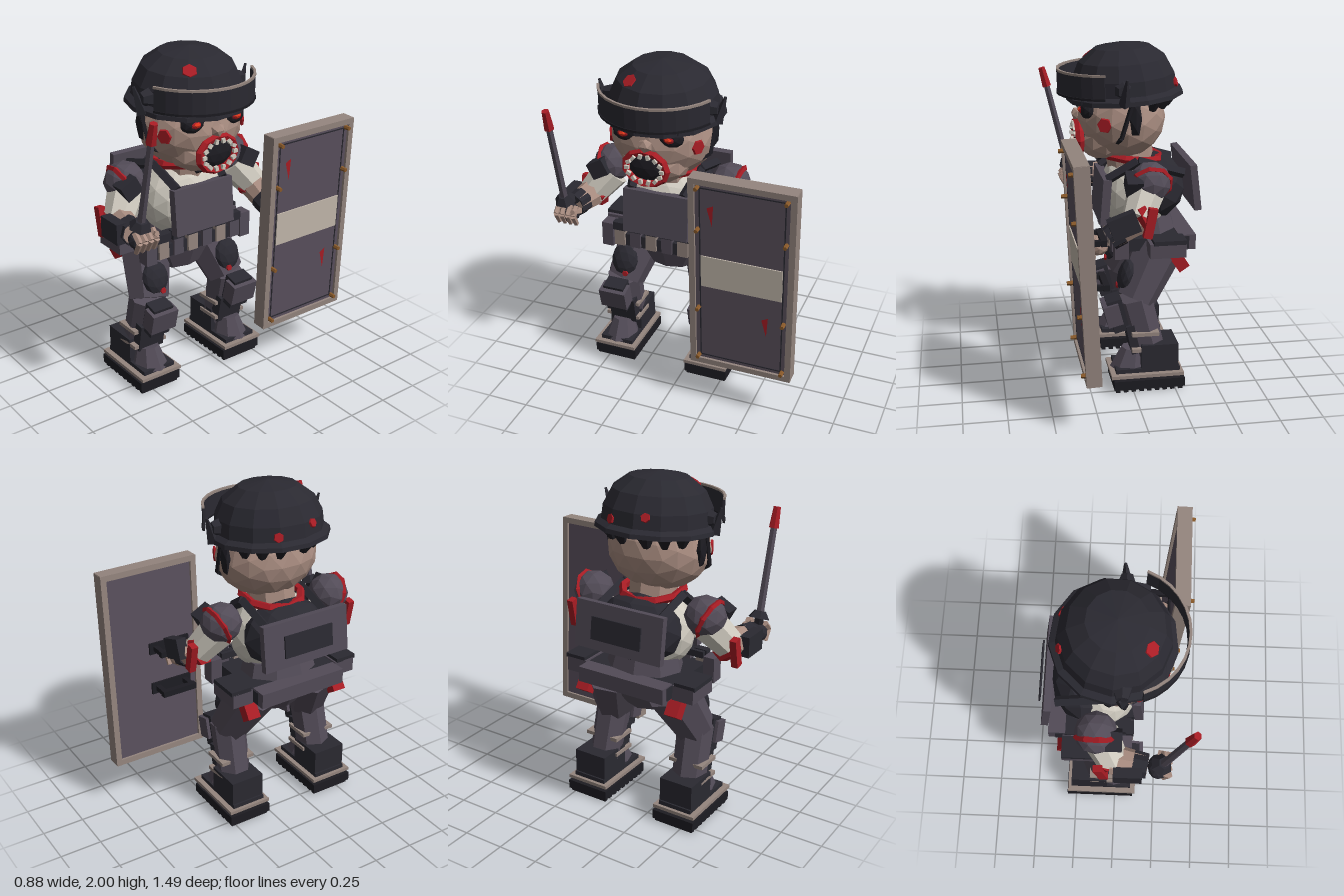
import * as THREE from 'three';

const C = { dark: 0x2a2931, grey: 0x524b57, panel: 0x5a505d, red: 0xa81c24, white: 0xcfcabf,
  skin: 0xa88c80, frame: 0x94857e, stripe: 0xc4b9ac, brass: 0x8a5a2a, eye: 0xe0361c, black: 0x1d1c22 };
const mats = {};
const mat = (c) => (mats[c] ??= new THREE.MeshStandardMaterial({ color: C[c], flatShading: true, side: THREE.DoubleSide }));
const V = (p) => new THREE.Vector3(...p);
const UP = new THREE.Vector3(0, 1, 0);

export function createModel() {
  const root = new THREE.Group();
  root.name = 'shieldTrooper';
  // The figure looks along +x; its own middle plane is z = 0 inside this group
  const g = new THREE.Group();
  g.name = 'figure';
  g.position.z = 0.15;
  root.add(g);

  const add = (name, geo, color, p = [0, 0, 0], r = [0, 0, 0], parent = g) => {
    const m = new THREE.Mesh(geo, mat(color));
    m.name = name;
    m.position.set(...p);
    m.rotation.set(...r);
    parent.add(m);
    return m;
  };
  const box = (name, color, p, s, r, parent) => add(name, new THREE.BoxGeometry(...s), color, p, r, parent);
  const ball = (name, color, p, s, detail = 1, r) => add(name, new THREE.IcosahedronGeometry(1, detail).scale(...s), color, p, r);
  // Tapered faceted rod from a to b
  const limb = (name, color, a, b, ra, rb, sides = 7) => {
    const d = V(b).sub(V(a));
    const m = add(name, new THREE.CylinderGeometry(rb, ra, d.length(), sides), color, V(a).addScaledVector(d, 0.5).toArray());
    m.quaternion.setFromUnitVectors(UP, d.normalize());
    return m;
  };
  // Thin blot lying on a surface with normal n
  const blot = (p, n, size) => {
    const m = add('bloodStain', new THREE.CylinderGeometry(size * 0.9, size, 0.012, 6), 'red', p);
    m.quaternion.setFromUnitVectors(UP, V(n).normalize());
  };
  const lathe = (pts, n) => new THREE.LatheGeometry(pts.map((p) => new THREE.Vector2(...p)), n);

  // Head and face
  ball('head', 'skin', [0.01, 1.57, 0], [0.26, 0.245, 0.305], 2);
  ball('jaw', 'skin', [0.12, 1.45, 0], [0.15, 0.13, 0.21]);
  limb('neck', 'skin', [-0.06, 1.24, 0], [-0.03, 1.42, 0], 0.14, 0.14, 8);
  ball('mouthCavity', 'black', [0.24, 1.46, 0], [0.045, 0.09, 0.12]);
  const lips = add('lips', new THREE.TorusGeometry(0.12, 0.026, 5, 11), 'red', [0.262, 1.455, 0], [0, Math.PI / 2, 0]);
  lips.scale.y = 0.8;
  for (let i = 0; i < 14; i++) {
    const a = (i / 14) * Math.PI * 2;
    box('tooth', 'white', [0.285, 1.455 + 0.078 * Math.sin(a), 0.104 * Math.cos(a)], [0.02, 0.026, 0.02], [a - Math.PI / 2, 0, 0]);
  }
  ball('nose', 'skin', [0.265, 1.59, 0], [0.035, 0.04, 0.045], 0);
  for (const s of [1, -1]) {
    ball('eyeSocket', 'black', [0.22, 1.64, s * 0.135], [0.045, 0.055, 0.075], 1);
    ball('eyeRim', 'red', [0.243, 1.64, s * 0.135], [0.028, 0.026, 0.04], 1);
    ball('eye', 'eye', [0.26, 1.642, s * 0.135], [0.018, 0.016, 0.026], 0);
    box('brow', 'dark', [0.24, 1.7, s * 0.13], [0.04, 0.025, 0.13], [s * 0.2, 0, 0]);
    blot([0.14, 1.57, s * 0.262], [0.45, 0, s], 0.045);
    ball('sideburn', 'black', [-0.03, 1.61, s * 0.295], [0.04, 0.11, 0.025], 0);
    // Short hair just below the helmet
    for (let i = 0; i < 3; i++) {
      const a = Math.PI * 0.68 + i * 0.36;
      limb('hairTuft', 'black', [0.27 * Math.cos(a), 1.71, s * 0.29 * Math.sin(a)],
        [0.25 * Math.cos(a), 1.64, s * 0.275 * Math.sin(a)], 0.05, 0.02, 5);
    }
    // Chin straps
    limb('chinStrap', 'black', [-0.01, 1.7, s * 0.31], [0.05, 1.5, s * 0.3], 0.013, 0.013, 4);
    limb('chinStrap', 'black', [0.05, 1.5, s * 0.3], [0.15, 1.33, s * 0.05], 0.013, 0.013, 4);
    // Visor hinges
    limb('visorHinge', 'dark', [0.04, 1.77, s * 0.28], [0.04, 1.77, s * 0.34], 0.055, 0.035, 6);
    limb('hingeWing', 'dark', [0.04, 1.69, s * 0.33], [0.03, 1.84, s * 0.375], 0.035, 0.008, 4);
  }
  limb('chinStrap', 'black', [0.15, 1.33, 0.06], [0.15, 1.33, -0.06], 0.015, 0.015, 4);

  // Helmet and raised visor
  const shell = lathe([[0.3, -0.03], [0.355, -0.025], [0.352, 0], [0.318, 0.02], [0.31, 0.1], [0.265, 0.19], [0.17, 0.26], [0, 0.288]], 13);
  add('helmet', shell, 'dark', [-0.015, 1.713, 0], [0, 0, -0.07]).scale.set(0.96, 1, 0.99);
  const arc = (r, t, h) => {
    const s = new THREE.Shape();
    s.absarc(0, 0, r, -1.22, 1.22, false);
    s.absarc(0, 0, r - t, 1.22, -1.22, true);
    return new THREE.ExtrudeGeometry(s, { depth: h, bevelEnabled: false, curveSegments: 6 }).rotateX(-Math.PI / 2);
  };
  add('visor', arc(0.35, 0.012, 0.12), 'dark', [0.025, 1.735, 0], [0, 0, -0.03]);
  for (const y of [1.722, 1.853]) add('visorTrim', arc(0.355, 0.014, 0.013), y > 1.8 ? 'frame' : 'black', [0.025, y, 0], [0, 0, -0.03]);
  blot([0.18, 1.915, 0.12], [0.6, 0.8, 0.3], 0.045);
  blot([-0.29, 1.82, 0.1], [-0.9, 0.45, 0.3], 0.028);
  blot([-0.235, 1.89, -0.1], [-0.7, 0.65, -0.3], 0.03);
  blot([-0.29, 1.78, -0.12], [-0.9, 0.3, -0.4], 0.03);

  // Torso, scarf and vest
  ball('shirt', 'white', [-0.07, 1.11, 0], [0.21, 0.24, 0.27], 2);
  ball('vestBack', 'dark', [-0.19, 1.15, 0], [0.18, 0.2, 0.27]);
  add('scarf', new THREE.TorusGeometry(0.175, 0.025, 5, 10), 'red', [-0.05, 1.34, 0], [Math.PI / 2, 0.12, 0]);
  box('chestPlate', 'grey', [0.125, 1.1, 0], [0.05, 0.27, 0.4], [0, 0, 0.08]);
  box('backPlate', 'grey', [-0.385, 1.19, 0], [0.04, 0.27, 0.56], [0, 0, -0.12]);
  box('backPanel', 'dark', [-0.425, 1.19, 0], [0.01, 0.13, 0.32], [0, 0, -0.12]);
  for (const s of [1, -1]) {
    limb('vestStrap', 'dark', [0.11, 1.23, s * 0.16], [-0.06, 1.34, s * 0.2], 0.03, 0.03, 4);
    limb('vestStrap', 'dark', [-0.06, 1.34, s * 0.2], [-0.33, 1.26, s * 0.2], 0.03, 0.03, 4);
  }

  // Belt and pouches
  limb('waist', 'grey', [-0.13, 0.84, 0], [-0.12, 0.98, 0], 0.25, 0.21, 9).scale.x = 0.82;
  box('belt', 'dark', [-0.13, 0.865, 0], [0.44, 0.075, 0.57]);
  box('rearPouch', 'grey', [-0.34, 0.865, 0], [0.1, 0.09, 0.56]);
  box('upperBelt', 'dark', [0.065, 0.955, 0], [0.05, 0.04, 0.56]);
  for (let i = 0; i < 6; i++) {
    const z = -0.25 + i * 0.1;
    box('beltPouch', i % 2 ? 'frame' : 'grey', [0.085, 0.885, z], [0.04, 0.11, 0.065]);
    box('pouchFlap', 'dark', [0.085, 0.955, z], [0.045, 0.05, 0.08]);
  }
  for (const s of [1, -1]) {
    box('hipPouch', 'grey', [0.06, 0.885, s * 0.33], [0.08, 0.15, 0.07]);
    box('sidePouch', 'grey', [-0.2, 0.865, s * 0.355], [0.21, 0.085, 0.13]);
    box('sidePouchFlap', 'dark', [-0.21, 0.915, s * 0.365], [0.19, 0.025, 0.13]);
  }

  // Legs, boots and soles
  limb('pelvis', 'grey', [-0.11, 0.66, 0], [-0.13, 0.85, 0], 0.13, 0.26, 8).scale.x = 0.78;
  for (const s of [1, -1]) {
    limb('thigh', 'grey', [-0.18, 0.82, s * 0.2], [-0.03, 0.53, s * 0.28], 0.155, 0.12);
    box('tornHip', 'red', [-0.28, 0.77, s * 0.3], [0.07, 0.12, 0.08], [0, 0, -0.6]);
    ball('thighPatch', 'dark', [0.02, 0.68, s * 0.26], [0.045, 0.1, 0.085], 1, [0, 0, 0.3]);
    blot([0.07, 0.61, s * 0.24], [1, 0.1, 0], 0.02);
    limb('shin', 'grey', [-0.025, 0.55, s * 0.285], [-0.125, 0.16, s * 0.295], 0.108, 0.1);
    box('kneePad', 'grey', [0.11, 0.465, s * 0.29], [0.09, 0.13, 0.17], [0, 0, -0.25]);
    box('kneePadEdge', 'dark', [0.08, 0.455, s * 0.29], [0.09, 0.2, 0.13], [0, 0, -0.25]);
    box('shinGuard', 'dark', [-0.015, 0.31, s * 0.29], [0.07, 0.18, 0.17], [0, 0, -0.2]);
    for (const y of [0.25, 0.35]) box('shinStrap', 'frame', [-0.075, y, s * 0.295], [0.16, 0.022, 0.22]);
    box('bootHeel', 'dark', [-0.16, 0.205, s * 0.3], [0.22, 0.15, 0.21]);
    const toe = add('bootToe', new THREE.CylinderGeometry(0.08, 0.13, 0.13, 8), 'grey', [-0.015, 0.165, s * 0.3], [0, 0, 0.15]);
    toe.scale.z = 0.82;
    box('bootBase', 'dark', [-0.09, 0.12, s * 0.3], [0.38, 0.03, 0.21]);
    box('welt', 'frame', [-0.085, 0.1, s * 0.302], [0.43, 0.02, 0.27]);
    box('sole', 'black', [-0.095, 0.047, s * 0.302], [0.42, 0.055, 0.27]);
    for (let i = 0; i < 9; i++) box('tread', 'black', [-0.28 + i * 0.0465, 0.011, s * 0.302], [0.025, 0.022, 0.25]);
  }

  // Arms: [side, elbow, wrist, hand]
  const arms = [
    [1, [-0.01, 1.09, 0.47], [0.19, 1.09, 0.5], [0.25, 1.08, 0.5]],
    [-1, [-0.01, 1.08, -0.47], [0.15, 0.98, -0.48], [0.21, 0.94, -0.46]],
  ];
  for (const [s, elbow, wrist, hand] of arms) {
    ball('shoulderPad', 'grey', [-0.1, 1.265, s * 0.37], [0.12, 0.115, 0.12], 1, [s * 0.4, 0, 0]);
    add('shoulderTrim', new THREE.TorusGeometry(0.113, 0.016, 4, 9), 'red', [-0.1, 1.255, s * 0.395], [s * 0.4, 0, 0]);
    box('shoulderFlap', 'dark', [0, 1.27, s * 0.41], [0.09, 0.1, 0.11], [s * 0.5, 0, 0]);
    limb('sleeve', 'white', [-0.08, 1.22, s * 0.37], elbow, 0.11, 0.09, 8);
    limb('tornCuff', 'red', [-0.04, 1.1, s * 0.45], [0, 1.085, s * 0.47], 0.098, 0.093, 7);
    box('tornStrip', 'red', [-0.07, 1.08, s * 0.545], [0.05, 0.17, 0.04], [0, 0, 0.2]);
    blot([0.0, 1.2, s * 0.45], [1, 0.2, s * 0.6], 0.028);
    limb('forearm', 'skin', elbow, wrist, 0.088, 0.065, 8);
    box('armGuard', 'dark', [0.08, elbow[1], s * 0.56], [0.16, 0.12, 0.06], [0, 0, s > 0 ? 0 : -0.35]);
    limb('gloveCuff', 'dark', V(elbow).lerp(V(wrist), 0.6).toArray(), wrist, 0.08, 0.072, 7);
    ball('palm', s > 0 ? 'dark' : 'skin', hand, [0.06, 0.058, 0.072], 1);
    for (let i = 0; i < 4; i++) {
      const z = hand[2] - 0.06 + i * 0.036;
      limb('finger', 'skin', [hand[0] + 0.02, hand[1] + 0.055, z], [hand[0] + 0.065, hand[1] + 0.01, z], 0.018, 0.018, 5);
      limb('finger', 'skin', [hand[0] + 0.065, hand[1] + 0.01, z], [hand[0] + 0.03, hand[1] - 0.055, z], 0.018, 0.015, 5);
    }
    limb('thumb', 'skin', [hand[0], hand[1] + 0.02, hand[2] - s * 0.07], [hand[0] + 0.07, hand[1] + 0.04, hand[2] - s * 0.06], 0.022, 0.016, 5);
  }

  // Baton
  limb('batonGrip', 'black', [0.24, 1.02, 0.51], [0.275, 1.18, 0.51], 0.028, 0.028, 6);
  limb('batonGuard', 'dark', [0.265, 1.16, 0.51], [0.28, 1.2, 0.51], 0.065, 0.035, 6);
  limb('batonShaft', 'grey', [0.275, 1.18, 0.51], [0.395, 1.68, 0.512], 0.023, 0.02, 6);
  limb('batonTip', 'red', [0.39, 1.66, 0.512], [0.42, 1.775, 0.512], 0.03, 0.022, 6);

  // Shield, leaning slightly forward at the top
  const sh = new THREE.Group();
  sh.name = 'shield';
  sh.position.set(0.32, 0.9, -0.595);
  sh.rotation.z = -0.045;
  g.add(sh);
  box('shieldPanel', 'panel', [0, 0, 0], [0.055, 1.19, 0.56], undefined, sh);
  for (const s of [1, -1]) {
    box('frameSide', 'frame', [0, 0, s * 0.285], [0.085, 1.22, 0.035], undefined, sh);
    box('frameEnd', 'frame', [0, s * 0.595, 0], [0.085, 0.035, 0.6], undefined, sh);
    box('innerLine', 'dark', [0.028, 0, s * 0.24], [0.005, 1.12, 0.007], undefined, sh);
    box('innerLine', 'dark', [0.028, s * 0.555, 0], [0.005, 0.007, 0.48], undefined, sh);
    for (const y of [-0.56, -0.22, 0.3, 0.56]) {
      add('rivet', new THREE.CylinderGeometry(0.012, 0.014, 0.04, 6), 'brass', [0.045, y, s * 0.25], [0, 0, -Math.PI / 2], sh);
    }
  }
  box('stripe', 'stripe', [0.03, 0.03, 0], [0.008, 0.2, 0.47], undefined, sh);
  // Blood drips
  for (const [y, z] of [[0.4, 0.18], [-0.26, -0.14]]) {
    const drip = new THREE.Shape([[0.012, -0.07], [0.02, 0.06], [-0.018, 0.04]].map((p) => new THREE.Vector2(...p)));
    add('bloodDrip', new THREE.ShapeGeometry(drip), 'red', [0.034, y, z], [0, Math.PI / 2, 0], sh);
  }
  // Carrying handles on the back
  for (const y of [-0.17, 0.09]) {
    box('handleBase', 'black', [-0.03, y, 0.1], [0.02, 0.07, 0.26], undefined, sh);
    box('handleBar', 'black', [-0.13, y, 0.1], [0.035, 0.035, 0.22], undefined, sh);
    for (const s of [1, -1]) box('handlePost', 'black', [-0.08, y, 0.1 + s * 0.09], [0.11, 0.03, 0.03], undefined, sh);
  }
  return root;
}
